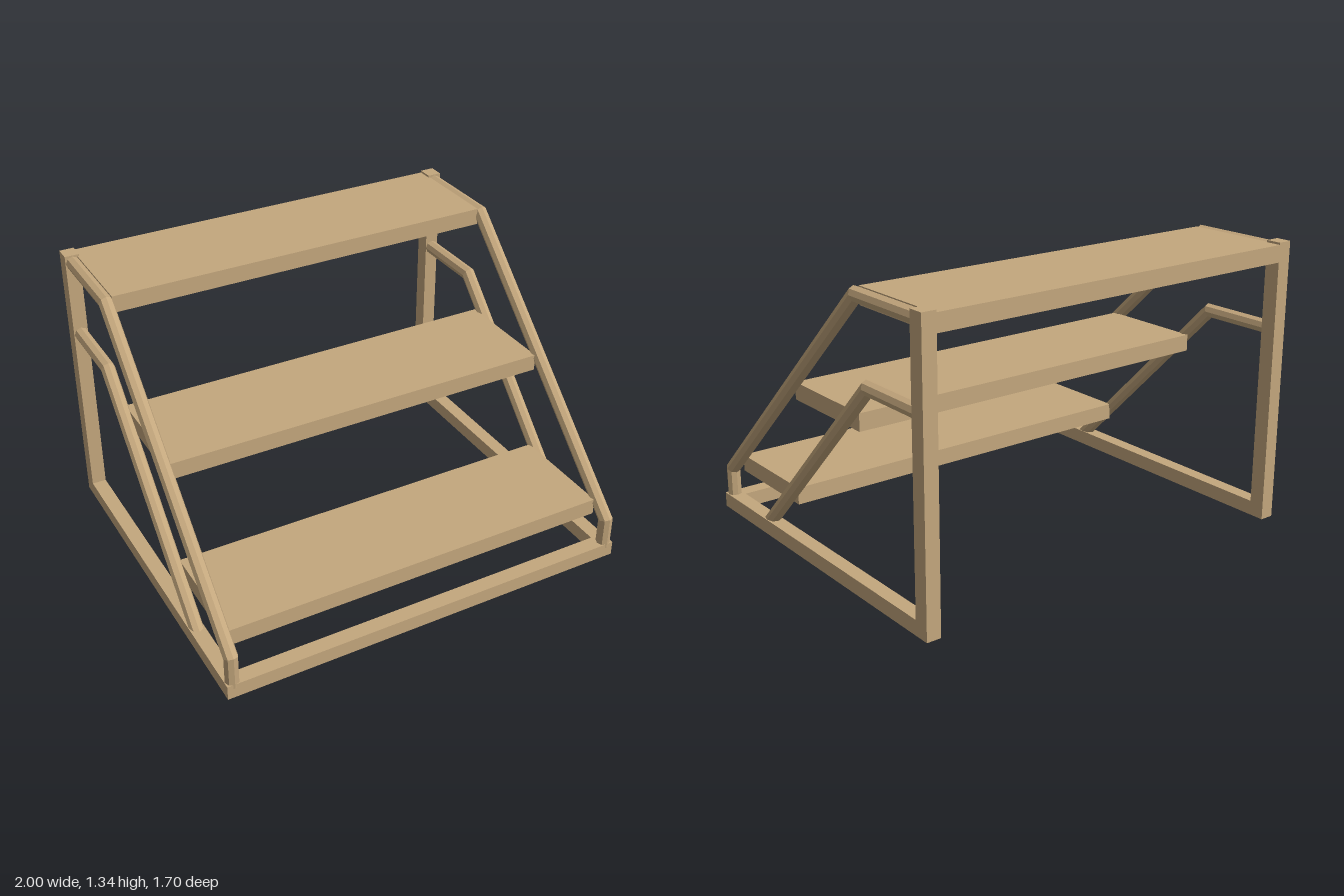
import * as THREE from 'three';

const wood = new THREE.MeshStandardMaterial({ color: 0xc4a77d });
wood.name = 'wood';

// Box given by its minimum and maximum corners
function beam(name, [x0, y0, z0], [x1, y1, z1]) {
  const mesh = new THREE.Mesh(new THREE.BoxGeometry(x1 - x0, y1 - y0, z1 - z0), wood);
  mesh.position.set((x0 + x1) / 2, (y0 + y1) / 2, (z0 + z1) / 2);
  mesh.name = name;
  return mesh;
}

// Eight-sided rail with mitred bends, along a path of [y, z] points at a given x
function rail(name, x, path, radius = 0.033, sides = 8) {
  const pts = path.map(([y, z]) => new THREE.Vector2(y, z));
  const normals = pts.slice(1).map((p, i) => {
    const d = p.clone().sub(pts[i]).normalize();
    return new THREE.Vector2(d.y, -d.x);
  });
  const positions = [];
  const index = [];
  pts.forEach((p, i) => {
    const a = normals[Math.max(i - 1, 0)];
    const b = normals[Math.min(i, normals.length - 1)];
    const mitre = a.clone().add(b).divideScalar(1 + a.dot(b));
    for (let j = 0; j < sides; j++) {
      const t = (j / sides) * Math.PI * 2;
      const s = Math.sin(t) * radius;
      positions.push(x + Math.cos(t) * radius, p.x + mitre.x * s, p.y + mitre.y * s);
      if (i < pts.length - 1) {
        const k = (j + 1) % sides;
        const r0 = i * sides, r1 = r0 + sides;
        index.push(r0 + j, r0 + k, r1 + k, r0 + j, r1 + k, r1 + j);
      }
    }
  });
  const geo = new THREE.BufferGeometry();
  geo.setAttribute('position', new THREE.Float32BufferAttribute(positions, 3));
  geo.setIndex(index);
  const flat = geo.toNonIndexed();
  flat.computeVertexNormals();
  const mesh = new THREE.Mesh(flat, wood);
  mesh.name = name;
  return mesh;
}

export function createModel() {
  const group = new THREE.Group();
  group.name = 'tieredStand';

  // Base: front beam and two side beams
  group.add(beam('frontBeam', [-1, 0, 0.775], [1, 0.07, 0.85]));
  for (const [side, s] of [['left', 1], ['right', -1]]) {
    const x0 = s > 0 ? 0.932 : -1;
    const x1 = x0 + 0.068;
    group.add(beam(side + 'BaseBeam', [x0, 0, -0.775], [x1, 0.07, 0.775]));
    // Rear post
    group.add(beam(side + 'RearPost', [x0, 0, -0.85], [x1, 1.335, -0.775]));
    // Outer and inner bent rails
    group.add(rail(side + 'UpperRail', s * 0.965,
      [[0.05, 0.82], [0.2, 0.82], [1.297, -0.348], [1.297, -0.8]]));
    group.add(rail(side + 'LowerRail', s * 0.965,
      [[0.045, 0.465], [0.928, -0.42], [0.928, -0.8]]));
  }

  // Shelves: bottom height, back edge, front edge
  [
    ['bottomShelf', 0.2, 0.235, 0.755],
    ['middleShelf', 0.705, -0.305, 0.215],
    ['topShelf', 1.245, -0.85, -0.335],
  ].forEach(([name, y, z0, z1]) => {
    group.add(beam(name, [-0.94, y, z0], [0.94, y + 0.08, z1]));
  });

  return group;
}
